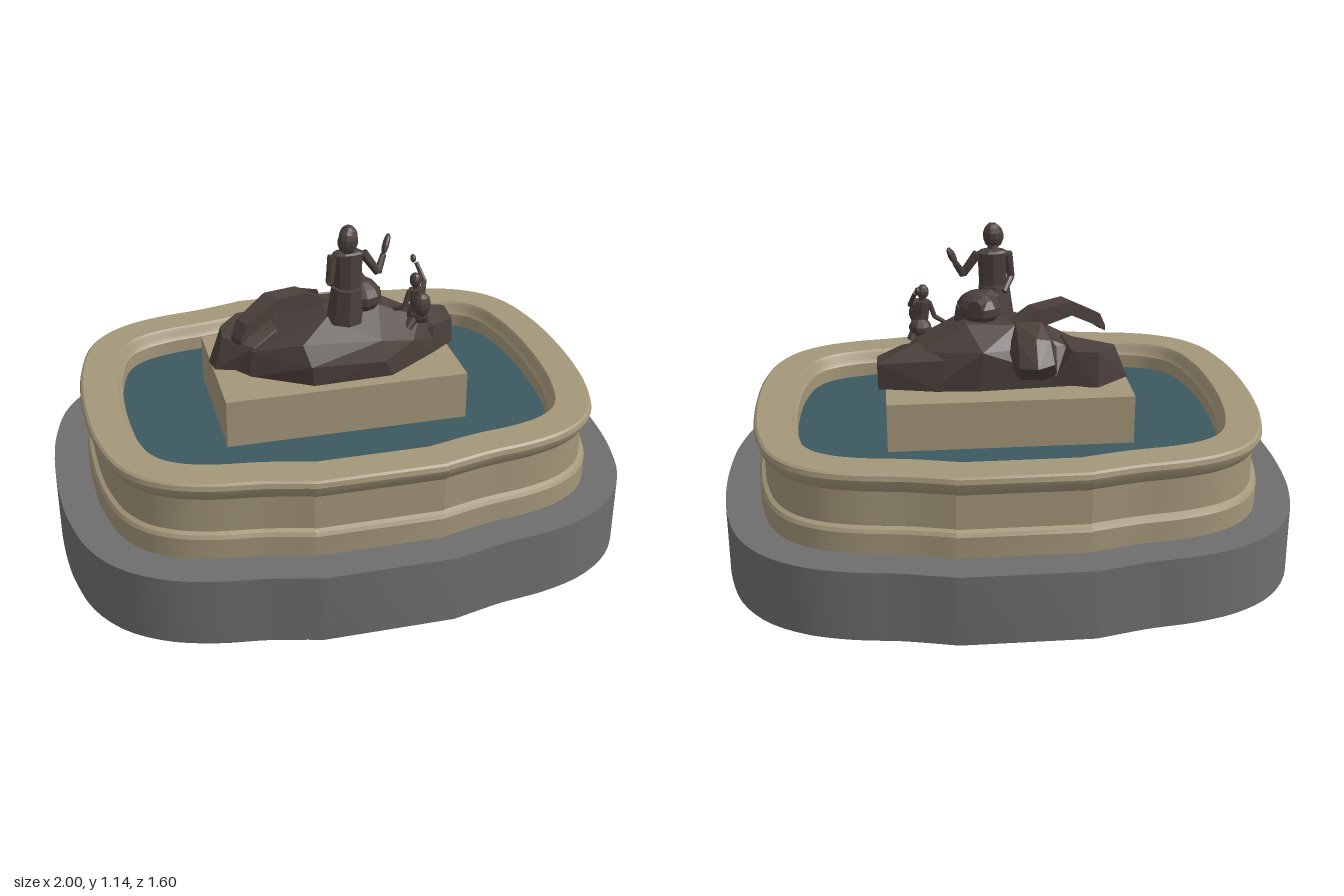
import * as THREE from 'three';
import { toCreasedNormals } from 'three/addons/utils/BufferGeometryUtils.js';
import { ConvexGeometry } from 'three/addons/geometries/ConvexGeometry.js';

const V = (p) => new THREE.Vector3(...p);

// Lobed basin outline: one quadrant curve, mirrored twice, as a closed loop of Vector2(x, z)
function baseOutline() {
  const quarter = new THREE.SplineCurve([
    [0.22, 0.8], [0.32, 0.775], [0.41, 0.755], [0.56, 0.733], [0.71, 0.685], [0.84, 0.595],
    [0.93, 0.46], [0.977, 0.29], [0.995, 0.14], [1, 0],
  ].map(([x, y]) => new THREE.Vector2(x, y))).getPoints(30);
  const right = [...quarter, ...quarter.slice(0, -1).reverse().map((p) => new THREE.Vector2(p.x, -p.y))];
  return [...right, ...right.map((p) => new THREE.Vector2(-p.x, p.y)).reverse()];
}

const OUTLINE = baseOutline();

// The outline moved inwards by d
function inset(d) {
  const n = OUTLINE.length;
  return OUTLINE.map((p, i) => {
    const t = OUTLINE[(i + 1) % n].clone().sub(OUTLINE[(i + n - 1) % n]).normalize();
    return new THREE.Vector2(p.x + t.y * d, p.y - t.x * d);
  });
}

// Sweeps a profile of [inset, height] pairs round the outline
function moulding(profile) {
  const pos = [], index = [], n = OUTLINE.length;
  for (const [d, y] of profile) for (const p of inset(d)) pos.push(p.x, y, p.y);
  for (let j = 0; j < profile.length - 1; j++) {
    for (let i = 0; i < n; i++) {
      const a = j * n + i, b = j * n + (i + 1) % n;
      index.push(a, b, b + n, a, b + n, a + n);
    }
  }
  const g = new THREE.BufferGeometry();
  g.setAttribute('position', new THREE.Float32BufferAttribute(pos, 3));
  g.setIndex(index);
  return toCreasedNormals(g, 0.5);
}

export function createModel() {
  const model = new THREE.Group();
  const material = (name, color, flatShading = false) => {
    const m = new THREE.MeshStandardMaterial({ color, flatShading });
    m.name = name;
    return m;
  };
  const granite = material('grey granite', 0x6e6e6e);
  const stone = material('tan stone', 0xa39679);
  const water = material('water', 0x3c5860);
  const bronze = material('dark bronze', 0x4b403c, true);

  const add = (parent, name, geometry, mat) => {
    const mesh = new THREE.Mesh(geometry, mat);
    mesh.name = name;
    parent.add(mesh);
    return mesh;
  };
  const group = (name) => {
    const g = new THREE.Group();
    g.name = name;
    model.add(g);
    return g;
  };
  const convex = (parent, name, points) => add(parent, name, new ConvexGeometry(points.map(V)), bronze);
  const blob = (parent, name, at, size, rot = [0, 0, 0]) => {
    const m = add(parent, name, new THREE.SphereGeometry(1, 10, 7), bronze);
    m.position.set(...at);
    m.scale.set(...size);
    m.rotation.set(...rot);
    return m;
  };
  const limb = (parent, name, from, to, r0, r1) => {
    const a = V(from), b = V(to), dir = b.clone().sub(a);
    const m = add(parent, name, new THREE.CylinderGeometry(r1, r0, dir.length(), 8), bronze);
    m.position.copy(a).add(b).multiplyScalar(0.5);
    m.quaternion.setFromUnitVectors(new THREE.Vector3(0, 1, 0), dir.normalize());
    return m;
  };

  // Step, basin, pool and plinth
  const slab = new THREE.ExtrudeGeometry(new THREE.Shape(inset(0)), { depth: 0.245, bevelEnabled: false });
  add(model, 'baseStep', toCreasedNormals(slab.rotateX(-Math.PI / 2), 0.5), granite);
  add(model, 'basin', moulding([
    [0.123, 0.24], [0.123, 0.318], [0.13, 0.33], [0.144, 0.337], [0.144, 0.458], [0.136, 0.465],
    [0.118, 0.492], [0.113, 0.508], [0.117, 0.524], [0.125, 0.53], [0.238, 0.53], [0.246, 0.52],
    [0.25, 0.5], [0.262, 0.485], [0.262, 0.42],
  ]), stone);
  const pool = new THREE.ShapeGeometry(new THREE.Shape(inset(0.262))).rotateX(-Math.PI / 2);
  add(model, 'poolWater', pool, water).position.y = 0.435;
  add(model, 'plinth', new THREE.BoxGeometry(0.85, 0.18, 0.505), stone).position.set(0, 0.517, 0);

  // Rocks
  const rocks = group('rocks');
  convex(rocks, 'mainRock', [
    [-0.36, 0.605, 0.02], [-0.28, 0.605, -0.13], [0.1, 0.605, -0.155], [0.28, 0.605, -0.14],
    [0.36, 0.605, 0.07], [0.17, 0.605, 0.2], [-0.11, 0.605, 0.21], [-0.31, 0.605, 0.09],
    [-0.12, 0.68, 0.215], [0.14, 0.67, 0.212], [-0.3, 0.69, 0.07], [-0.14, 0.745, 0.17],
    [0.13, 0.74, 0.19], [0.26, 0.7, 0.14], [-0.04, 0.808, 0.1], [0.15, 0.82, 0.07],
    [0.14, 0.82, -0.06], [-0.03, 0.815, -0.07], [0.09, 0.75, -0.165], [0.31, 0.745, 0.05],
    [0.3, 0.73, -0.08], [-0.2, 0.74, -0.08], [0.44, 0.62, 0],
  ]);
  convex(rocks, 'leftRock', [
    [-0.43, 0.605, -0.06], [-0.42, 0.605, 0.01], [-0.31, 0.605, -0.16], [-0.2, 0.605, 0.08],
    [-0.38, 0.728, -0.08], [-0.385, 0.715, -0.02], [-0.31, 0.735, -0.155], [-0.22, 0.74, -0.15],
    [-0.15, 0.62, -0.14], [-0.2, 0.745, 0.02], [-0.29, 0.7, 0.06],
  ]);
  convex(rocks, 'rightRock', [
    [0.45, 0.605, -0.1], [0.45, 0.605, 0], [0.452, 0.7, -0.108], [0.45, 0.695, -0.01], [0.36, 0.605, 0.07],
    [0.36, 0.71, 0.06], [0.23, 0.605, -0.15], [0.22, 0.72, -0.145], [0.31, 0.75, -0.03], [0.24, 0.64, 0.05],
  ]);
  convex(rocks, 'backBoulder', [
    [-0.15, 0.72, -0.22], [-0.09, 0.715, -0.25], [-0.03, 0.71, -0.22], [-0.17, 0.65, -0.13],
    [-0.12, 0.65, -0.18], [-0.04, 0.65, -0.17], [0, 0.67, -0.1], [-0.14, 0.79, -0.17],
    [-0.09, 0.8, -0.18], [-0.03, 0.78, -0.17], [-0.12, 0.83, -0.09], [-0.03, 0.83, -0.08],
    [-0.17, 0.74, -0.1], [0, 0.74, -0.13],
  ]);

  // Arched fish tail: a chain of slabs along a bent spine [x, y, z, half width, thickness]
  const spine = [
    [-0.355, 0.748, 0.085, 0.03, 0.02], [-0.33, 0.785, 0.07, 0.035, 0.05], [-0.22, 0.848, 0.025, 0.04, 0.052],
    [-0.1, 0.83, -0.025, 0.04, 0.065], [-0.01, 0.765, -0.05, 0.045, 0.08],
  ];
  const section = ([x, y, z, w, t]) => [[-1, -1], [1, -1], [1, 1], [-1, 1]]
    .map(([s, u]) => [x + s * w * 0.4, y + u * t / 2, z + s * w * 0.8]);
  const tail = group('archedTail');
  for (let i = 0; i < spine.length - 1; i++) {
    convex(tail, 'tailSegment', [...section(spine[i]), ...section(spine[i + 1])]);
  }

  // Seated woman with a hand mirror
  const woman = group('seatedWoman');
  blob(woman, 'head', [0.035, 1.095, 0.098], [0.033, 0.043, 0.036]);
  blob(woman, 'hair', [0.03, 1.085, 0.11], [0.036, 0.045, 0.028]);
  limb(woman, 'neck', [0.035, 1.02, 0.09], [0.035, 1.075, 0.097], 0.019, 0.016);
  limb(woman, 'torso', [0.035, 0.89, 0.095], [0.036, 1.035, 0.09], 0.046, 0.052).scale.z = 0.8;
  blob(woman, 'shoulders', [0.036, 1.03, 0.09], [0.058, 0.018, 0.036]);
  limb(woman, 'hips', [0.025, 0.79, 0.09], [0.03, 0.915, 0.095], 0.066, 0.054);
  blob(woman, 'lap', [0.09, 0.85, 0.03], [0.076, 0.062, 0.088], [0, 0.4, 0]);
  limb(woman, 'thigh', [0.05, 0.87, 0.06], [0.11, 0.875, -0.055], 0.045, 0.026);
  limb(woman, 'shin', [0.14, 0.86, 0.02], [0.15, 0.79, 0.03], 0.03, 0.03);
  limb(woman, 'rightUpperArm', [-0.018, 1.03, 0.09], [-0.03, 0.94, 0.1], 0.017, 0.014);
  limb(woman, 'rightForearm', [-0.03, 0.94, 0.1], [0, 0.9, 0.045], 0.014, 0.011);
  limb(woman, 'leftUpperArm', [0.088, 1.03, 0.09], [0.14, 0.955, 0.095], 0.017, 0.014);
  limb(woman, 'leftForearm', [0.14, 0.955, 0.095], [0.168, 1.005, 0.065], 0.014, 0.011);
  blob(woman, 'handMirror', [0.18, 1.035, 0.05], [0.012, 0.04, 0.022], [-0.6, 0, -0.4]);

  // Child with a raised arm
  const child = group('child');
  blob(child, 'head', [0.283, 0.9, 0.073], [0.021, 0.027, 0.023]);
  limb(child, 'neck', [0.287, 0.86, 0.075], [0.284, 0.885, 0.074], 0.011, 0.011);
  limb(child, 'torso', [0.293, 0.79, 0.078], [0.288, 0.868, 0.075], 0.026, 0.031).scale.z = 0.8;
  blob(child, 'backpiece', [0.3, 0.815, 0.098], [0.033, 0.045, 0.026]);
  blob(child, 'hips', [0.295, 0.77, 0.07], [0.04, 0.035, 0.04]);
  limb(child, 'rightLeg', [0.285, 0.77, 0.08], [0.25, 0.73, 0.1], 0.02, 0.015);
  limb(child, 'leftLeg', [0.305, 0.77, 0.07], [0.33, 0.73, 0.05], 0.02, 0.015);
  limb(child, 'rightUpperArm', [0.262, 0.86, 0.075], [0.243, 0.805, 0.08], 0.01, 0.009);
  limb(child, 'rightForearm', [0.243, 0.805, 0.08], [0.208, 0.79, 0.06], 0.009, 0.007);
  limb(child, 'leftUpperArm', [0.312, 0.86, 0.07], [0.33, 0.87, 0.025], 0.01, 0.009);
  limb(child, 'leftForearm', [0.33, 0.87, 0.025], [0.312, 0.925, -0.015], 0.009, 0.008);
  blob(child, 'leftHand', [0.305, 0.935, -0.03], [0.01, 0.015, 0.014], [-0.6, 0, 0]);

  return model;
}
